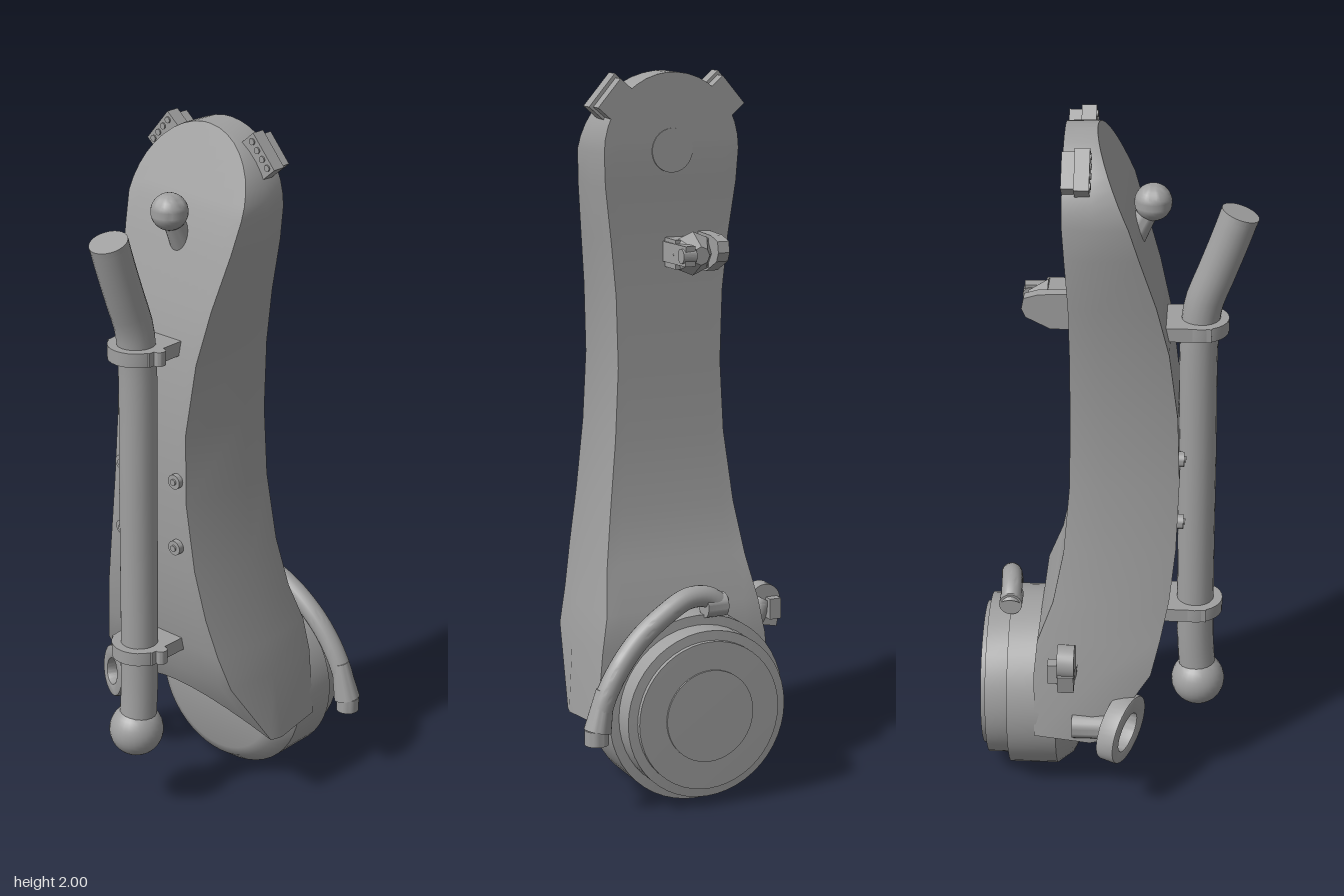
import * as THREE from 'three';
import { toCreasedNormals } from 'three/addons/utils/BufferGeometryUtils.js';

const V = (x, y, z) => new THREE.Vector3(x, y, z);

// Lofted housing: each row is [y, half width, front face half width, front z, widest z, back z]
function bodyGeometry() {
  const rows = [];
  for (let i = 0; i <= 9; i++) {
    const a = 0.06 + (Math.PI / 2 - 0.06) * i / 9, c = Math.cos(a), w = 0.212 * Math.sin(a);
    rows.push([1.79 + 0.21 * c, w, w * 0.96, 0.045 - 0.09 * c, -0.05, -0.13]);
  }
  rows.push(
    [1.7, 0.207, 0.192, 0.072, -0.05, -0.125], [1.55, 0.186, 0.165, 0.118, -0.04, -0.117],
    [1.4, 0.17, 0.142, 0.153, -0.03, -0.115], [1.2, 0.164, 0.127, 0.178, -0.02, -0.115],
    [1.0, 0.175, 0.135, 0.185, -0.02, -0.118], [0.8, 0.2, 0.16, 0.178, -0.02, -0.135],
    [0.65, 0.225, 0.188, 0.162, -0.02, -0.165], [0.53, 0.246, 0.213, 0.138, -0.03, -0.21],
    [0.43, 0.265, 0.24, 0.113, -0.04, -0.22], [0.22, 0.284, 0.274, -0.025, -0.06, -0.22]);
  const N = 10, ring = 2 * N + 4, pos = [], idx = [];
  rows.forEach(([y, w, wf, zf, zs, zb], r) => {
    const put = (x, z, front) => {
      // the lowest row arches over the drum
      const arch = r === rows.length - 1 ? 0.14 * Math.max(0, 1 - (x / 0.275) ** 2) : 0;
      pos.push(x, y + arch, z + (front ? arch * 0.75 : 0));
    };
    for (let k = 0; k <= N; k++) put(wf * (2 * k / N - 1), zf, true);
    put(w, zs);
    for (let k = 0; k <= N; k++) put(w * 0.94 * (1 - 2 * k / N), zb);
    put(-w, zs);
  });
  for (let r = 0; r < rows.length - 1; r++) for (let j = 0; j < ring; j++) {
    const a = r * ring + j, b = r * ring + (j + 1) % ring;
    idx.push(a, a + ring, b, b, a + ring, b + ring);
  }
  const cap = (o, up) => {
    const tri = (a, b, c) => up ? idx.push(o + a, o + c, o + b) : idx.push(o + a, o + b, o + c);
    const back = 2 * N + 2;
    for (let k = 0; k < N; k++) {
      tri(k, back - k, k + 1);
      tri(k + 1, back - k, back - k - 1);
    }
    tri(N, N + 2, N + 1);
    tri(back, 0, back + 1);
  };
  cap(0, true);
  cap((rows.length - 1) * ring, false);
  const g = new THREE.BufferGeometry();
  g.setAttribute('position', new THREE.Float32BufferAttribute(pos, 3));
  g.setIndex(idx);
  return g;
}

export function createModel() {
  const model = new THREE.Group();
  const grey = new THREE.MeshStandardMaterial({ color: 0xa0a0a0 });
  grey.name = 'grey';

  const add = (name, geo, p = [0, 0, 0], rot = [0, 0, 0]) => {
    const m = new THREE.Mesh(toCreasedNormals(geo, 0.55), grey);
    m.name = name;
    m.position.set(...p);
    m.rotation.set(...rot);
    model.add(m);
    return m;
  };
  const box = (name, size, p, rot) => add(name, new THREE.BoxGeometry(...size), p, rot);
  const ball = (name, r, p) => add(name, new THREE.SphereGeometry(r, 28, 18), p);
  // cylinder between two points
  const rod = (name, a, b, r0, r1 = r0, seg = 28) => {
    const d = b.clone().sub(a);
    const m = add(name, new THREE.CylinderGeometry(r1, r0, d.length(), seg));
    m.position.copy(a).addScaledVector(d, 0.5);
    m.quaternion.setFromUnitVectors(V(0, 1, 0), d.normalize());
    return m;
  };
  const tube = (name, pts, r) =>
    add(name, new THREE.TubeGeometry(new THREE.CatmullRomCurve3(pts), 40, r, 20));

  add('housing', bodyGeometry());
  rod('upperBackDisc', V(0, 1.79, -0.12), V(0, 1.79, -0.133), 0.06);

  // Stepped drum at the foot, axis along z
  const profile = [[0, 0.1], [0.2, 0.1], [0.23, 0.115], [0.264, 0.16], [0.264, 0.3], [0.237, 0.302],
    [0.237, 0.365], [0.21, 0.367], [0.21, 0.38], [0.13, 0.381], [0.13, 0.386], [0, 0.386]];
  add('drum', new THREE.LatheGeometry(profile.map(([r, z]) => new THREE.Vector2(r, z)), 48),
    [0, 0.267, 0], [-Math.PI / 2, 0, 0]);
  rod('drumPin', V(0.09, 0.3, -0.11), V(0.09, 0.3, -0.03), 0.022);

  // Front pipe with a bent upper end and a ball at the foot
  tube('pipe', [V(0, 0.28, 0.245), V(0, 0.4, 0.236), V(0, 0.6, 0.233), V(0, 1, 0.232), V(0, 1.42, 0.232),
    V(0, 1.5, 0.243), V(0, 1.58, 0.272), V(0, 1.68, 0.308), V(0, 1.755, 0.333)], 0.053);
  rod('pipeEnd', V(0, 1.745, 0.33), V(0, 1.76, 0.335), 0.053);
  ball('pipeBall', 0.078, [-0.004, 0.268, 0.245]);

  // Pipe clamps
  for (const y of [0.53, 1.43]) {
    rod('clampRing', V(0, y - 0.02, 0.232), V(0, y + 0.02, 0.232), 0.08);
    box('clampBase', [0.155, 0.04, 0.13], [0, y, 0.2]);
    rod('clampBolt', V(0.08, y - 0.02, 0.23), V(0.08, y + 0.02, 0.23), 0.018);
  }

  // Rivets on the front face
  for (const x of [-0.1, 0.1]) for (const y of [0.86, 1.06]) {
    rod('rivet', V(x, y, 0.15), V(x, y, 0.197), 0.021);
    rod('rivetCentre', V(x, y, 0.19), V(x, y, 0.202), 0.009);
  }

  // Ball knob near the top
  rod('knobStem', V(0, 1.69, 0.05), V(0, 1.79, 0.105), 0.035, 0.025);
  ball('knobBall', 0.051, [0, 1.787, 0.102]);

  // Connector blocks on the shoulders, tangent to the rounded top
  for (const s of [-1, 1]) {
    const rot = [0, 0, -s * 0.86], nx = 0.757, ny = 0.653;
    const at = (r, t) => [s * (nx * r + ny * t), 1.79 + ny * r - nx * t];
    box('shoulderBlock', [0.115, 0.06, 0.04], [...at(0.222, 0), -0.076], rot);
    box('shoulderBlockRear', [0.1, 0.055, 0.034], [...at(0.215, 0), -0.113], rot);
    for (let i = 0; i < 4; i++) {
      const [x, y] = at(0.235, (i - 1.5) * 0.027);
      rod('connectorPin', V(x, y, -0.07), V(x, y, -0.052), 0.009, 0.009, 12);
    }
  }

  // Lug ring flaring from the lower left edge
  const lug = new THREE.Shape().absellipse(0, 0, 0.098, 0.07, 0, Math.PI * 2);
  lug.holes.push(new THREE.Path().absellipse(-0.008, 0, 0.064, 0.043, 0, Math.PI * 2));
  add('lug', new THREE.ExtrudeGeometry(lug, { depth: 0.045, bevelEnabled: true, bevelSize: 0.006,
    bevelThickness: 0.006, bevelSegments: 2, curveSegments: 20 }), [-0.262, 0.272, 0.01], [0, -0.5, 0.75]);
  rod('lugPin', V(-0.265, 0.27, -0.11), V(-0.265, 0.27, -0.01), 0.038);

  // Lever behind the lug
  tube('sideLever', [V(-0.22, 0.38, -0.13), V(-0.25, 0.44, -0.13), V(-0.285, 0.5, -0.125)], 0.034);
  rod('sideLeverEnd', V(-0.285, 0.5, -0.1), V(-0.285, 0.5, -0.148), 0.048);
  box('sideLeverTab', [0.11, 0.06, 0.046], [-0.275, 0.46, -0.124], [0, 0, 0.2]);
  box('sideLeverPost', [0.035, 0.06, 0.06], [-0.305, 0.48, -0.145]);

  // Claw lever hugging the drum
  tube('clawLever', [V(-0.075, 0.55, -0.298), V(-0.03, 0.58, -0.298), V(0.03, 0.583, -0.302),
    V(0.1, 0.55, -0.31), V(0.18, 0.49, -0.315), V(0.24, 0.42, -0.32), V(0.285, 0.34, -0.323),
    V(0.315, 0.245, -0.325)], 0.03);
  rod('clawTopBolt', V(-0.082, 0.555, -0.298), V(-0.02, 0.555, -0.298), 0.033);
  rod('clawFoot', V(0.285, 0.36, -0.32), V(0.31, 0.25, -0.325), 0.025, 0.038);
  rod('clawFootBolt', V(0.313, 0.255, -0.325), V(0.313, 0.213, -0.325), 0.033);

  // Latch on the upper back: tapered wing, pointed centre, thin fin with a pin
  const wing = new THREE.Shape([[0.1, 1.46], [0.17, 1.462], [0.235, 1.495], [0.246, 1.52], [0.24, 1.55],
    [0.2, 1.562], [0.1, 1.566]].map(([a, y]) => new THREE.Vector2(a, y)));
  const wingGeo = new THREE.ExtrudeGeometry(wing, { depth: 0.034, bevelEnabled: false }).rotateY(Math.PI / 2);
  add('latchWing', wingGeo, [-0.118, 0, 0]);
  box('latchBase', [0.11, 0.08, 0.08], [-0.04, 1.513, -0.145]);
  add('latchCentre', new THREE.CylinderGeometry(0.025, 0.06, 0.055, 8), [-0.04, 1.513, -0.205], [-Math.PI / 2, 0, 0]);
  box('latchFin', [0.03, 0.055, 0.13], [0.002, 1.515, -0.18], [0, 0.06, 0]);
  rod('latchPin', V(-0.02, 1.515, -0.23), V(0.02, 1.515, -0.23), 0.02);
  return model;
}
